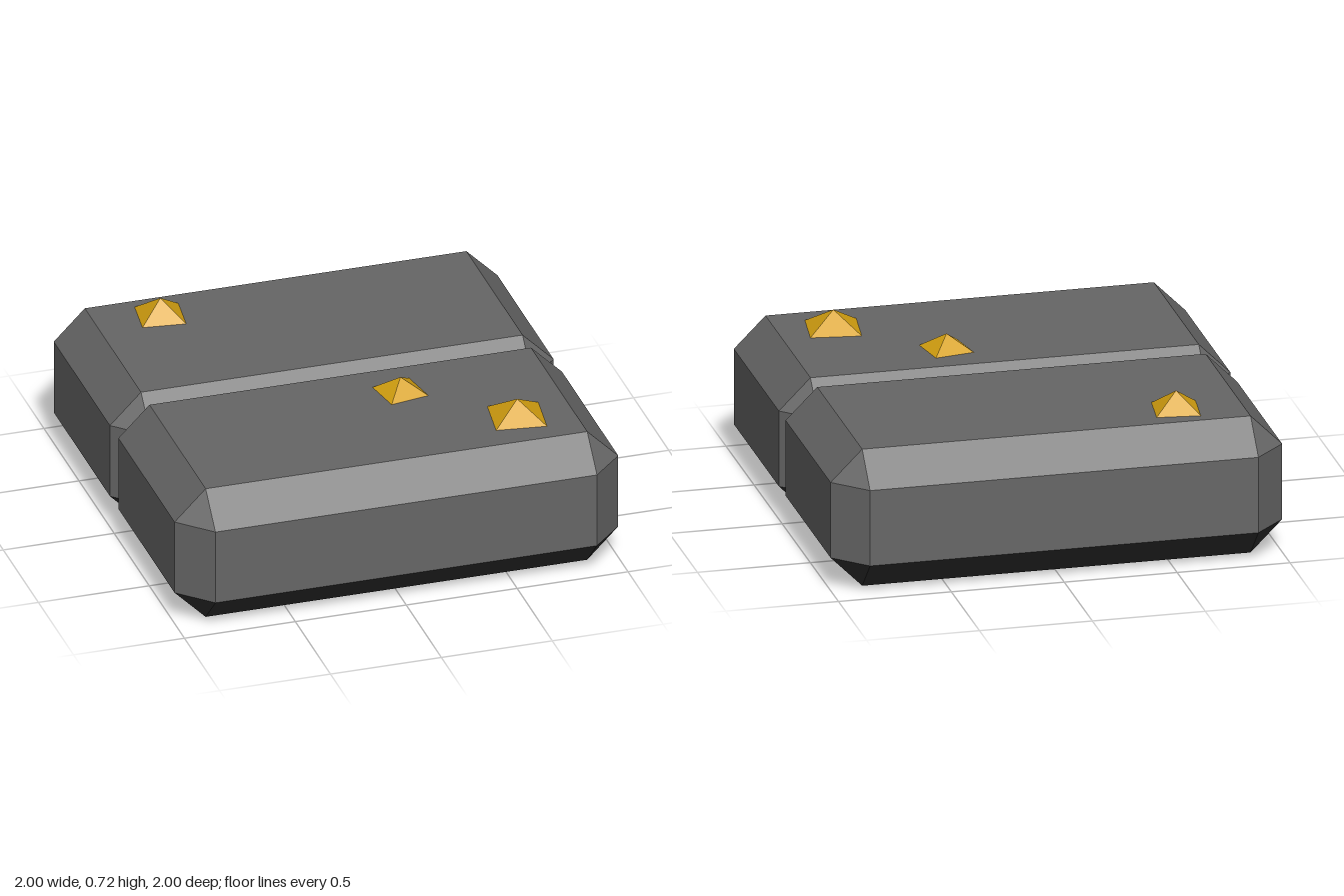
import * as THREE from 'three';

const stone = new THREE.MeshStandardMaterial({ color: 0x666666, flatShading: true });
stone.name = 'stone grey';
const darkStone = new THREE.MeshStandardMaterial({ color: 0x333333, flatShading: true });
darkStone.name = 'dark stone';
const gold = new THREE.MeshStandardMaterial({ color: 0xd4a010, flatShading: true });
gold.name = 'gold';

// Stations along z: [z, inset of the cross-section, bulge of the underside]
const stations = [
  [-1, 0.14, 0], [-0.86, 0, 0], [-0.46, 0, 0.01], [-0.06, 0, 0],
  [0, 0.06, 0],
  [0.06, 0, 0], [0.46, 0, 0.01], [0.86, 0, 0], [1, 0.14, 0],
];

// Joins one open cross-section per station into a surface
function loft(section) {
  const rings = stations.map(([z, inset, bulge]) =>
    section(inset, bulge).map(([x, y]) => [x, y, z]));
  const pos = [];
  for (let i = 0; i < rings.length - 1; i++) {
    for (let j = 0; j < rings[i].length - 1; j++) {
      const a = rings[i][j], b = rings[i][j + 1];
      const c = rings[i + 1][j + 1], d = rings[i + 1][j];
      pos.push(...a, ...b, ...c, ...a, ...c, ...d);
    }
  }
  const geo = new THREE.BufferGeometry();
  geo.setAttribute('position', new THREE.Float32BufferAttribute(pos, 3));
  geo.computeVertexNormals();
  return geo;
}

function addMesh(parent, name, geo, material) {
  const mesh = new THREE.Mesh(geo, material);
  mesh.name = name;
  parent.add(mesh);
  return mesh;
}

export function createModel() {
  const model = new THREE.Group();
  model.name = 'studdedStoneBlock';

  // Bevelled sides and top with the groove across the middle
  addMesh(model, 'stoneShell', loft((d) => [
    [1 - d, 0.15], [1 - d, 0.495], [0.86, 0.635 - d],
    [-0.86, 0.635 - d], [d - 1, 0.495], [d - 1, 0.15],
  ]), stone);

  // Dark, slightly bulging underside
  addMesh(model, 'underside', loft((d, bulge) => [
    [d - 1, 0.15], [-0.86, 0.01 + d], [-0.45, 0.01 + d - bulge],
    [0.45, 0.01 + d - bulge], [0.86, 0.01 + d], [1 - d, 0.15],
  ]), darkStone);

  // Flat front and back faces
  for (const side of [1, -1]) {
    const face = addMesh(model, side > 0 ? 'frontFace' : 'backFace',
      new THREE.PlaneGeometry(1.72, 0.345), stone);
    face.position.set(0, 0.3225, side);
    if (side < 0) face.rotation.y = Math.PI;
  }

  // Gold pyramid studs: x, z, radius, height, turn
  const studs = [
    [-0.57, -0.70, 0.135, 0.085, 0.66],
    [0.205, 0.27, 0.126, 0.07, 0.96],
    [0.615, 0.637, 0.157, 0.085, 0.65],
  ];
  studs.forEach(([x, z, radius, height, turn], i) => {
    const stud = addMesh(model, `goldStud${i + 1}`,
      new THREE.ConeGeometry(radius, height, 4), gold);
    stud.position.set(x, 0.635 + height / 2, z);
    stud.rotation.y = turn;
  });

  return model;
}
